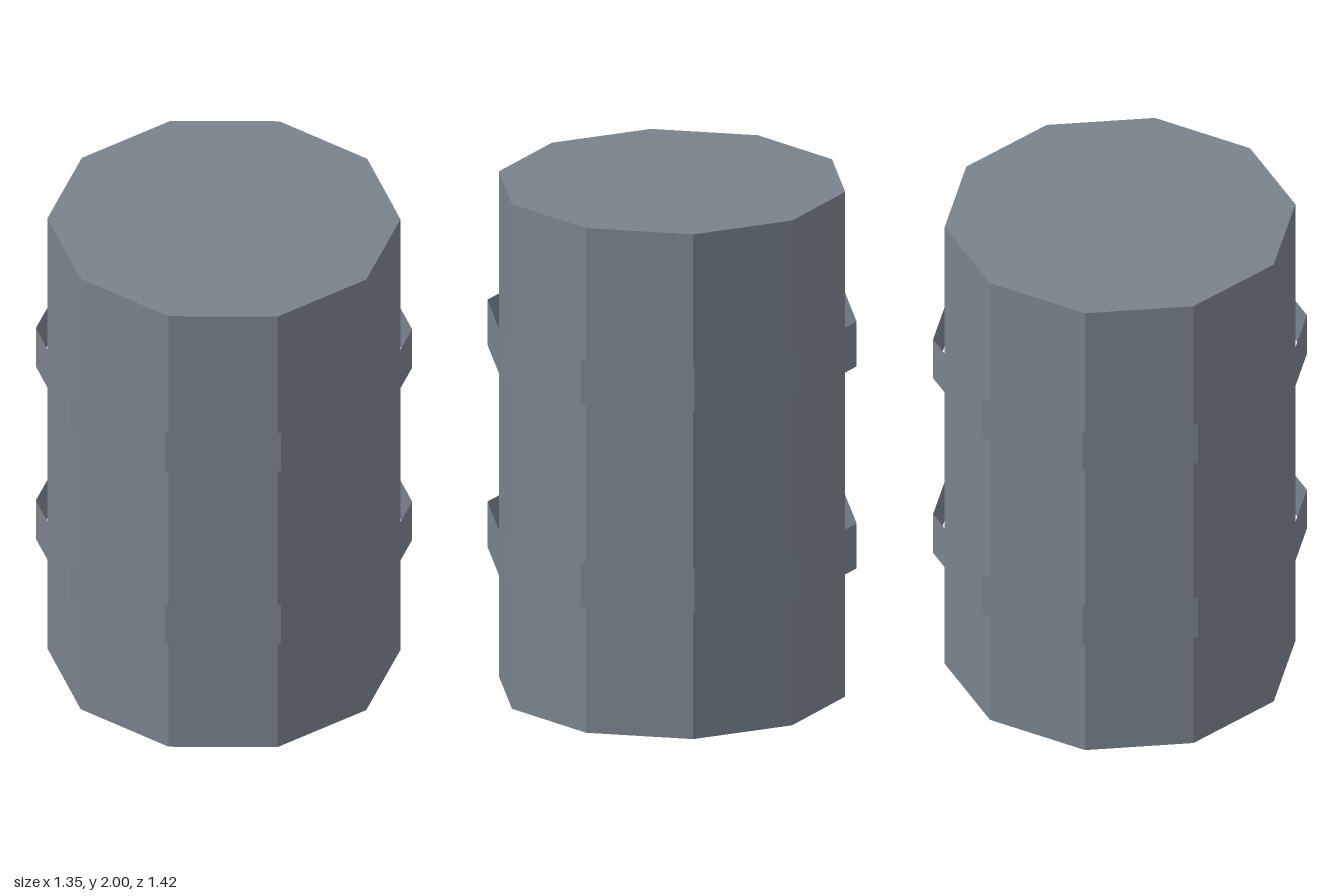
import * as THREE from 'three';

const SIDES = 10;

export function createModel() {
  const group = new THREE.Group();
  group.name = 'barrel';

  const steel = new THREE.MeshStandardMaterial({ color: 0x79828d, flatShading: true, side: THREE.DoubleSide });
  steel.name = 'steel grey';

  // Closed ten-sided drum, with corners on the z axis
  const body = new THREE.Mesh(new THREE.CylinderGeometry(0.667, 0.667, 2, SIDES), steel);
  body.name = 'body';
  body.position.y = 1;
  group.add(body);

  // Two thin open bands standing clear of the drum
  const bandShape = new THREE.CylinderGeometry(0.711, 0.711, 0.178, SIDES, 1, true);
  [['lowerBand', 0.6], ['upperBand', 1.4]].forEach(([name, y]) => {
    const band = new THREE.Mesh(bandShape, steel);
    band.name = name;
    band.position.y = y;
    group.add(band);
  });

  return group;
}
